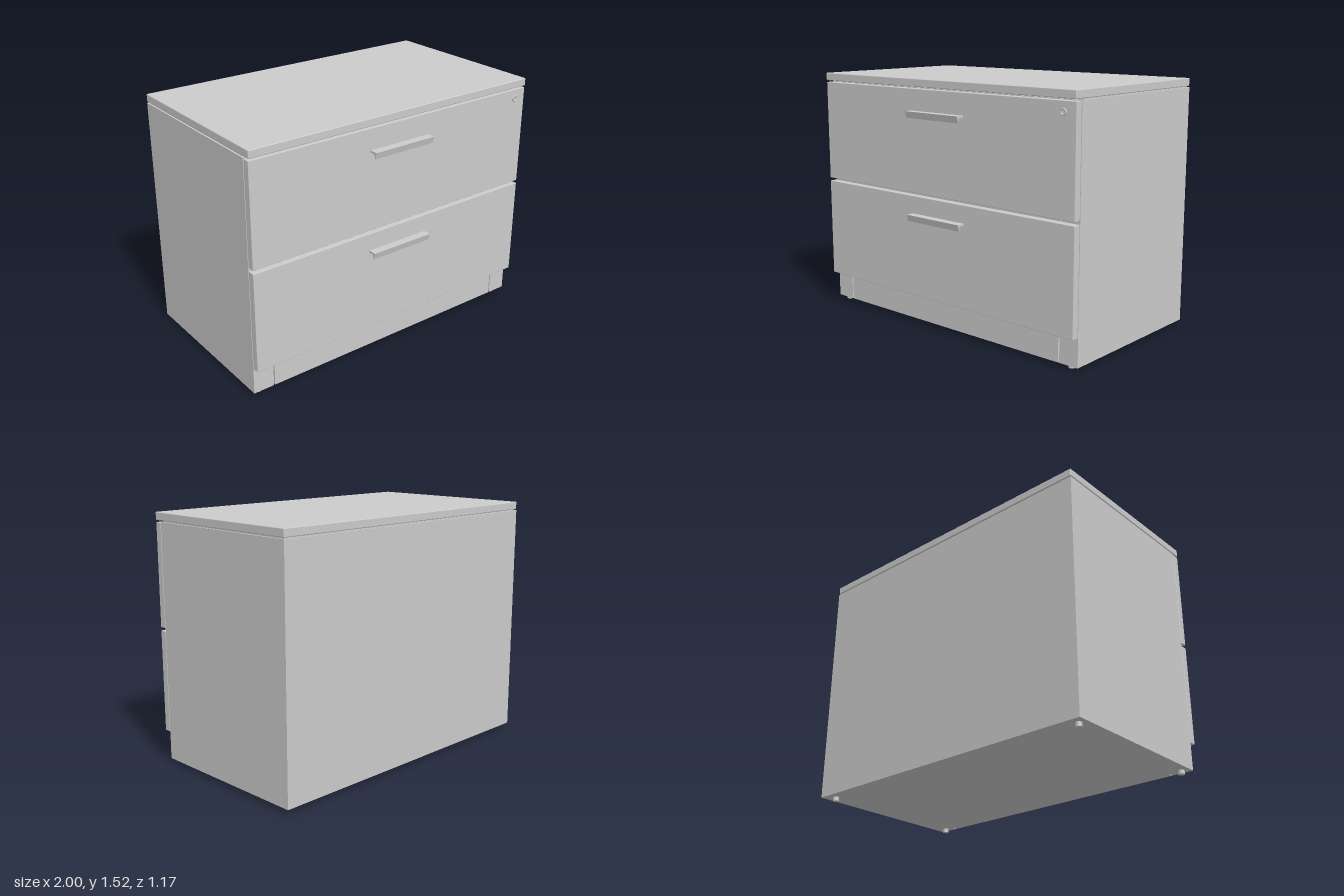
import * as THREE from 'three';
import { RoundedBoxGeometry } from 'three/addons/geometries/RoundedBoxGeometry.js';

const material = new THREE.MeshStandardMaterial({ color: 0xcccccc });

export function createModel() {
  const root = new THREE.Group();

  const add = (name, geometry, x = 0, y = 0, z = 0) => {
    const mesh = new THREE.Mesh(geometry, material);
    mesh.name = name;
    mesh.position.set(x, y, z);
    root.add(mesh);
    return mesh;
  };
  // Slab given by its limits in y and z, with slightly softened edges
  const slab = (name, width, y0, y1, z0, z1, radius) =>
    add(name, new RoundedBoxGeometry(width, y1 - y0, z1 - z0, 2, radius), 0, (y0 + y1) / 2, (z0 + z1) / 2);
  const outline = (points) => new THREE.Shape(points.map(([x, y]) => new THREE.Vector2(x, y)));

  // Carcass: plan outline with two narrow grooves that split the plinth from the side posts
  const front = 0.485, back = -0.585, groove = 0.46;
  const plan = outline([
    [-1, -back], [-1, -front],
    [-0.867, -front], [-0.867, -groove], [-0.859, -groove], [-0.859, -front],
    [0.867, -front], [0.867, -groove], [0.875, -groove], [0.875, -front],
    [1, -front], [1, -back],
  ]);
  const carcassGeometry = new THREE.ExtrudeGeometry(plan, { depth: 1.445, bevelEnabled: false });
  carcassGeometry.rotateX(-Math.PI / 2);
  add('carcass', carcassGeometry, 0, 0.025, 0);

  // Recessed spacer forming the shadow gap below the top
  add('topSpacer', new THREE.BoxGeometry(1.98, 0.012, 1.04), 0, 1.473, -0.055);
  slab('top', 2, 1.477, 1.525, -0.585, 0.537, 0.005);

  // Handle: flat bar with a tapered lip, as (z, y) profile swept along x
  const handleProfile = outline([
    [0, -0.012], [0.036, -0.012], [0.04, -0.04], [0.043, -0.04], [0.053, 0], [0, 0],
  ]);
  const handleLength = 0.425;
  const handleGeometry = new THREE.ExtrudeGeometry(handleProfile, { depth: handleLength, bevelEnabled: false });
  handleGeometry.rotateY(-Math.PI / 2);
  handleGeometry.scale(1, 1, 1).translate(handleLength / 2, 0, 0);

  // Drawers
  [['lower', 0.195, 0.82, 0.712], ['upper', 0.84, 1.466, 1.336]].forEach(([label, y0, y1, handleY]) => {
    slab(label + 'DrawerFront', 2, y0, y1, 0.488, 0.533, 0.003);
    add(label + 'DrawerHandle', handleGeometry, -0.002, handleY, 0.532);
  });

  // Lock: collar ring around a recessed barrel with a raised key slot
  const collar = new THREE.LatheGeometry(
    [[0.021, 0], [0.021, 0.006], [0.018, 0.008], [0.013, 0.008], [0.013, 0.003], [0, 0.003]]
      .map(([r, y]) => new THREE.Vector2(r, y)), 24);
  collar.rotateX(Math.PI / 2);
  const lock = add('lock', collar, 0.918, 1.408, 0.532);
  lock.material = material.clone();
  lock.material.side = THREE.DoubleSide;
  add('keySlot', new THREE.BoxGeometry(0.004, 0.016, 0.004), 0.918, 1.408, 0.536);

  // Levelling feet
  for (const x of [-0.95, 0.928]) {
    for (const z of [0.44, -0.527]) {
      add('foot', new THREE.CylinderGeometry(0.019, 0.019, 0.026, 24), x, 0.013, z);
    }
  }

  return root;
}
